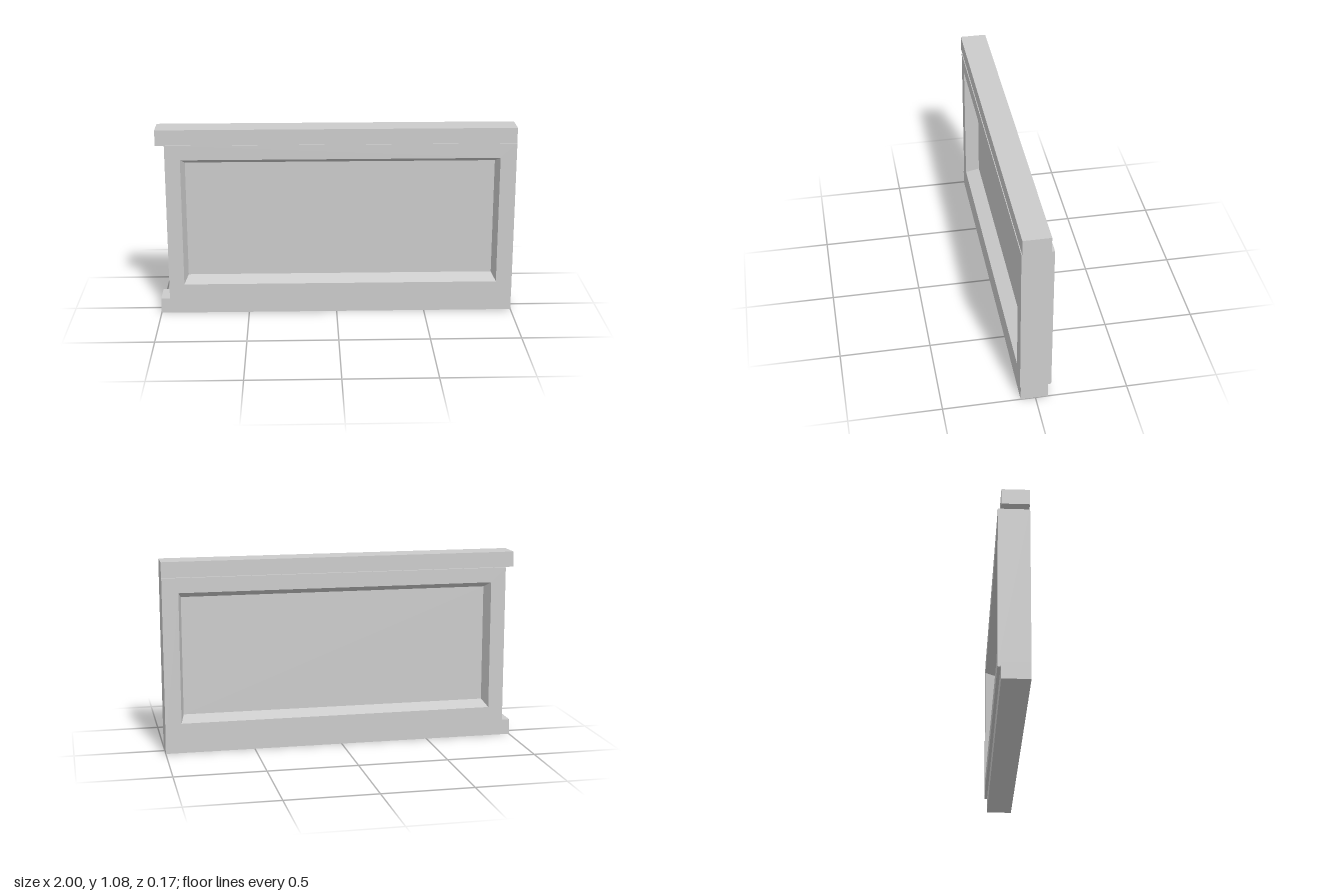
import * as THREE from 'three';

// Closed solid through a series of rectangular rings [x0, x1, y0, y1, z]
function loftRings(rings) {
  const loops = rings.map(([x0, x1, y0, y1, z]) => [[x0, y0, z], [x1, y0, z], [x1, y1, z], [x0, y1, z]]);
  const pos = [];
  const quad = (a, b, c, d) => [a, b, c, a, c, d].forEach((p) => pos.push(...p));
  const first = loops[0];
  const last = loops[loops.length - 1];
  quad(first[0], first[1], first[2], first[3]);
  for (let r = 0; r < loops.length - 1; r++) {
    for (let i = 0; i < 4; i++) {
      const j = (i + 1) % 4;
      quad(loops[r][i], loops[r + 1][i], loops[r + 1][j], loops[r][j]);
    }
  }
  quad(last[3], last[2], last[1], last[0]);
  const geo = new THREE.BufferGeometry();
  geo.setAttribute('position', new THREE.Float32BufferAttribute(pos, 3));
  geo.computeVertexNormals();
  return geo;
}

export function createModel() {
  const group = new THREE.Group();
  const material = new THREE.MeshStandardMaterial({ color: 0xcccccc, flatShading: true });
  const add = (name, geometry) => {
    const mesh = new THREE.Mesh(geometry, material);
    mesh.name = name;
    group.add(mesh);
    return mesh;
  };

  // Frame with a bevelled recess on both faces, leaving a thin panel between
  const panel = [-0.845, 0.89, 0.205, 0.87];
  const opening = [-0.865, 0.91, 0.173, 0.905];
  const outer = [-0.95, 1, 0.088, 0.988];
  const half = 0.084;
  const core = 0.005;
  add('recessedPanel', loftRings([
    [...panel, core],
    [...opening, half],
    [...outer, half],
    [...outer, -half],
    [...opening, -half],
    [...panel, -core],
  ]));

  // Rails along the bottom and top, overhanging the right end
  for (const [name, y0, y1] of [['bottomRail', 0, 0.088], ['topRail', 0.988, 1.075]]) {
    add(name, new THREE.BoxGeometry(2, y1 - y0, 0.148)).position.set(0, (y0 + y1) / 2, 0.006);
  }
  return group;
}
